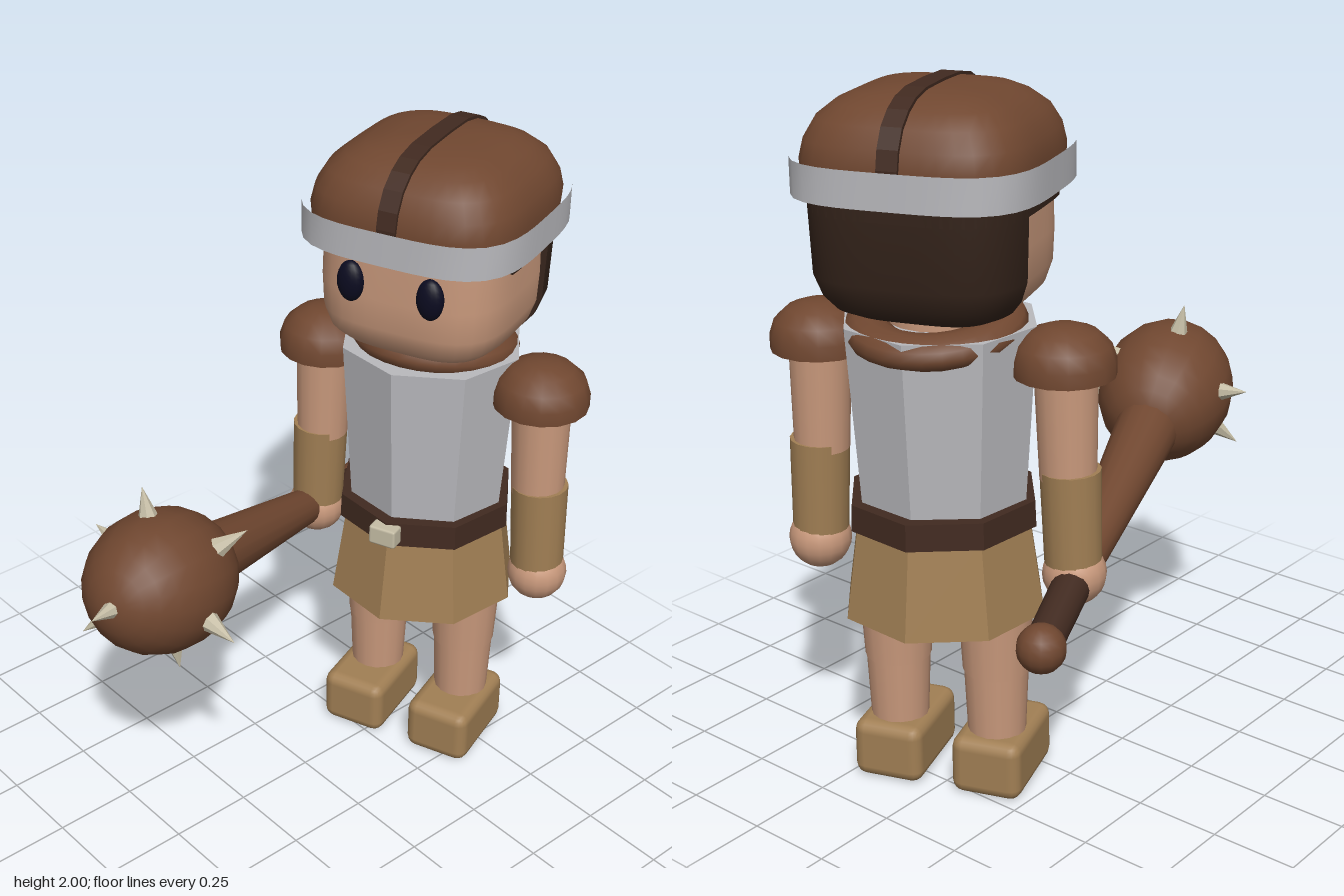
import * as THREE from 'three';
import { toCreasedNormals } from 'three/addons/utils/BufferGeometryUtils.js';
import { RoundedBoxGeometry } from 'three/addons/geometries/RoundedBoxGeometry.js';

const paint = (name, color) => Object.assign(new THREE.MeshStandardMaterial({ color }), { name });

// Rounded-square loft. levels: [y, half width]; from/to: angle range (front is PI / 2)
function loft(levels, from = 0, to = Math.PI * 2, n = 3.6, segs = 48) {
  const full = to - from > 6.28;
  const cols = [];
  for (let j = 0; j < (full ? segs : segs + 1); j++) cols.push([from + (to - from) * j / segs, 1]);
  // partial shells get end walls that turn inwards
  if (!full) { cols.unshift([from, 0.88]); cols.push([to, 0.88]); }
  const pos = [], idx = [], w = cols.length;
  for (const [y, a] of levels) for (const [t, k] of cols) {
    const c = Math.cos(t), s = Math.sin(t);
    const r = a * k / Math.pow(Math.abs(c) ** n + Math.abs(s) ** n, 1 / n);
    pos.push(r * c, y, r * s);
  }
  for (let i = 0; i < levels.length - 1; i++) for (let j = 0; j < (full ? w : w - 1); j++) {
    const a = i * w + j, b = i * w + (j + 1) % w;
    idx.push(a, a + w, b, b, a + w, b + w);
  }
  const g = new THREE.BufferGeometry();
  g.setAttribute('position', new THREE.Float32BufferAttribute(pos, 3));
  g.setIndex(idx);
  g.computeVertexNormals();
  return toCreasedNormals(g, 0.7);
}

export function createModel() {
  const model = new THREE.Group();
  const body = new THREE.Group();
  body.name = 'warrior';
  body.position.set(0.033, 0, -0.452);
  body.rotation.y = 0.35;
  model.add(body);

  const skin = paint('skin', 0xc9997c);
  const brown = paint('brown leather', 0x704730);
  const dark = paint('dark leather', 0x412a20);
  const hairMat = paint('hair', 0x35241b);
  const steel = paint('steel', 0xb9b9bd);
  const tan = paint('tan cloth', 0xa17f54);
  const bone = paint('bone', 0xc6bea6);
  const navy = paint('eye navy', 0x0b0b20);
  hairMat.side = THREE.DoubleSide;

  const add = (name, geo, mat, x = 0, y = 0, z = 0, parent = body) => {
    const m = new THREE.Mesh(geo, mat);
    m.name = name;
    m.position.set(x, y, z);
    parent.add(m);
    return m;
  };
  // Eight-sided faceted tube piece with a corner at the front
  const octagon = (name, rTop, rBot, y0, y1, mat, depth = 1) => {
    const g = new THREE.CylinderGeometry(rTop, rBot, y1 - y0, 8);
    g.scale(1, 1, depth);
    return add(name, toCreasedNormals(g, 0.1), mat, 0, (y0 + y1) / 2, 0);
  };
  // Round limb between two points
  const up = new THREE.Vector3(0, 1, 0);
  const limb = (name, p, q, rp, rq, mat, parent = body, segs = 16) => {
    const a = new THREE.Vector3(...p), b = new THREE.Vector3(...q);
    const d = b.clone().sub(a);
    const m = add(name, new THREE.CylinderGeometry(rq, rp, d.length(), segs), mat, 0, 0, 0, parent);
    m.position.copy(a).addScaledVector(d, 0.5);
    m.quaternion.setFromUnitVectors(up, d.normalize());
    return m;
  };

  // Torso, belt and skirt
  octagon('breastplate', 0.272, 0.238, 0.86, 1.37, steel, 0.95);
  octagon('belt', 0.265, 0.268, 0.805, 0.88, dark);
  octagon('skirt', 0.25, 0.29, 0.55, 0.82, tan);
  add('buckle', new RoundedBoxGeometry(0.085, 0.06, 0.05, 1, 0.008), bone, 0, 0.845, 0.268);
  const collar = add('collar', new THREE.TorusGeometry(0.17, 0.062, 12, 28).rotateX(Math.PI / 2), brown, 0, 1.362, -0.025);
  collar.rotation.x = -0.15;
  collar.scale.set(1.05, 0.75, 1.05);
  add('neck', new THREE.CylinderGeometry(0.14, 0.14, 0.14, 16), skin, 0, 1.37, 0);

  // Head
  add('head', loft([[1.41, 0], [1.41, 0.19], [1.425, 0.225], [1.455, 0.255], [1.51, 0.273],
    [1.6, 0.277], [1.8, 0.272], [1.8, 0]]), skin);
  add('hair', loft([[1.405, 0.1], [1.41, 0.2], [1.43, 0.24], [1.465, 0.268], [1.52, 0.287], [1.75, 0.295]],
    Math.PI + 0.36, Math.PI * 2 - 0.36), hairMat);
  add('hairBand', loft([[1.69, 0.27], [1.69, 0.293], [1.75, 0.295]], Math.PI - 0.42, Math.PI * 2 + 0.42), hairMat);
  for (const s of [-1, 1]) {
    add('eye', new THREE.SphereGeometry(1, 16, 12).scale(0.04, 0.06, 0.028), navy, s * 0.12, 1.64, 0.278);
  }

  // Helmet dome, rim and crest strap
  const dome = [[1.82, 0.307], [1.87, 0.296], [1.92, 0.268], [1.955, 0.225], [1.977, 0.178], [1.99, 0.11]];
  add('helmet', loft([[1.75, 0], [1.75, 0.302], ...dome, [1.993, 0]]), brown);
  add('helmetRim', loft([[1.73, 0.329], [1.825, 0.329]]), steel);
  const strap = new THREE.Shape();
  strap.moveTo(-0.31, 1.75);
  for (const [y, a] of dome) strap.lineTo(-a - 0.008, y + 0.007);
  strap.lineTo(0, 2);
  for (const [y, a] of [...dome].reverse()) strap.lineTo(a + 0.008, y + 0.007);
  strap.lineTo(0.31, 1.75);
  add('helmetStrap', new THREE.ExtrudeGeometry(strap, { depth: 0.056, bevelEnabled: false })
    .rotateY(-Math.PI / 2), dark, 0.028);

  // Arms, legs and boots, mirrored
  const padProfile = [[0, 0], [0.138, 0], [0.138, 0.04], [0.124, 0.082], [0.088, 0.115], [0.045, 0.131], [0, 0.135]]
    .map(([r, y]) => new THREE.Vector2(r, y));
  for (const s of [-1, 1]) {
    add('shoulderPad', toCreasedNormals(new THREE.LatheGeometry(padProfile, 16), 0.8), brown, s * 0.347, 1.25, 0);
    limb('upperArm', [s * 0.358, 0.96, 0], [s * 0.35, 1.32, 0], 0.077, 0.087, skin);
    limb('bracer', [s * 0.373, 0.71, 0], [s * 0.364, 0.985, 0], 0.078, 0.083, tan);
    add('hand', new THREE.SphereGeometry(0.088, 16, 12), skin, s * 0.376, 0.685, 0);
    limb('thigh', [s * 0.148, 0.36, 0], [s * 0.148, 0.6, 0], 0.094, 0.107, skin);
    limb('shin', [s * 0.148, 0.12, 0], [s * 0.148, 0.37, 0], 0.08, 0.091, skin);
    add('boot', new RoundedBoxGeometry(0.205, 0.175, 0.3, 2, 0.035), tan, s * 0.148, 0.0875, 0.035);
  }

  // Spiked club
  const club = new THREE.Group();
  club.name = 'club';
  model.add(club);
  const tail = new THREE.Vector3(-0.43, 0.605, -0.6), top = new THREE.Vector3(-0.033, 0.915, 0.493);
  const along = (t) => tail.clone().lerp(top, t).toArray();
  add('pommel', new THREE.SphereGeometry(0.067, 14, 10), brown, ...tail.toArray(), club);
  limb('grip', along(0.02), along(0.33), 0.05, 0.055, dark, club);
  limb('shaft', along(0.31), along(0.88), 0.056, 0.098, brown, club);
  const mass = add('clubHead', new THREE.SphereGeometry(0.203, 18, 14).scale(1, 1.23, 1), brown, ...top.toArray(), club);
  mass.quaternion.setFromUnitVectors(up, top.clone().sub(tail).normalize());
  const tips = [[-0.09, 1.195, 0.5], [-0.315, 0.965, 0.51], [0.26, 0.855, 0.47], [0.08, 0.985, 0.8],
    [0.135, 1.09, 0.32], [0.026, 0.64, 0.485], [-0.19, 0.73, 0.66]];
  for (const tip of tips) {
    const out = new THREE.Vector3(...tip).sub(top);
    const base = top.clone().addScaledVector(out, 0.58);
    const spike = limb('spike', base.toArray(), tip, 0.037, 0, bone, club, 7);
    spike.geometry = toCreasedNormals(spike.geometry, 0.3);
  }
  return model;
}
